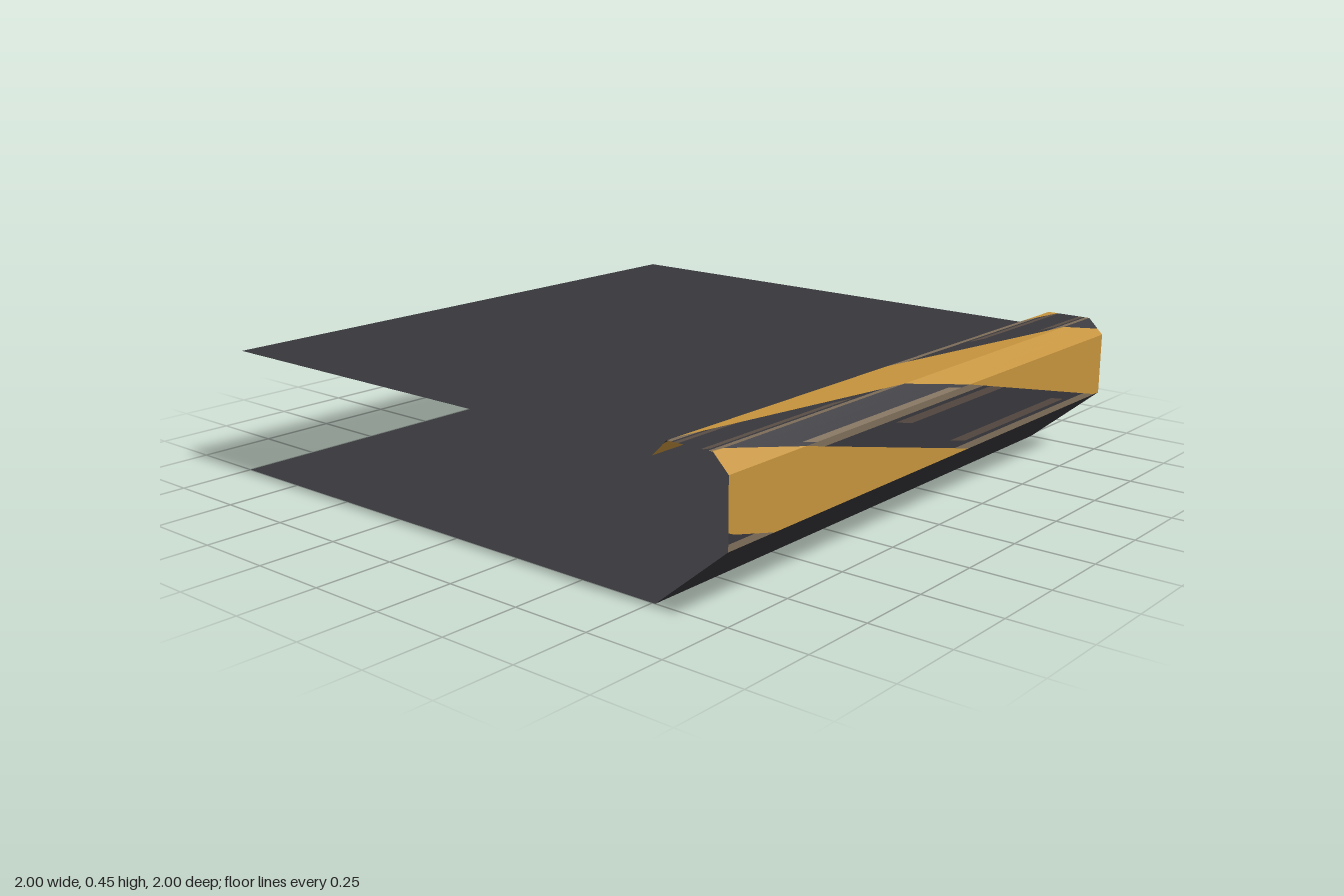
import * as THREE from 'three';

const mat = (name, color) => {
  const m = new THREE.MeshStandardMaterial({ color, side: THREE.DoubleSide });
  m.name = name;
  return m;
};

// Profile as [z, y], from the back of the deck, round the nose, to the back of the base
const deckBack = [-1, 0.4], deckFront = [0.75, 0.4];
const baseFront = [0.76, 0], baseBack = [-1, 0];

// Nose profile as [z, y, x of a stripe's left edge]
const nose = [
  [0.75, 0.4, -0.24], [0.8, 0.45, 0], [0.95, 0.45, 0.82], [1, 0.4, 1.1], [1, 0.2, 1.93],
];
const PERIOD = 1.78, WIDTH = 0.82, ROWS = 20;

// Worn streaks for each nose face: [from, to, colour, left inset, right inset]
const wideStreaks = [
  [0, 0.1, 'tan', 0, 0], [0.15, 0.25, 'brown', 0.3, 0],
  [0.75, 0.85, 'brown', 0.1, 0.1], [0.9, 1, 'tan', 0, 0],
];
const streaks = [[], wideStreaks, [[0.8, 1, 'tan', 0.05, 0.05]], wideStreaks];

const lerp = (p, q, t) => p.map((v, i) => v + (q[i] - v) * t);
const clamp = (x) => Math.max(-1, Math.min(1, x));

// Flat quad between profile points p and q; x ranges are given at each point
function pushQuad(out, p, q, p0, p1, q0, q1) {
  [p0, p1, q0, q1] = [p0, p1, q0, q1].map(clamp);
  if (p1 - p0 < 1e-5 && q1 - q0 < 1e-5) return;
  const a = [p0, p[1], p[0]], b = [q0, q[1], q[0]];
  const c = [q1, q[1], q[0]], d = [p1, p[1], p[0]];
  if (q1 - q0 > 1e-5) out.push(...a, ...b, ...c);
  if (p1 - p0 > 1e-5) out.push(...a, ...c, ...d);
}

function makeMesh(name, positions, material) {
  const g = new THREE.BufferGeometry();
  g.setAttribute('position', new THREE.Float32BufferAttribute(positions, 3));
  g.computeVertexNormals();
  const mesh = new THREE.Mesh(g, material);
  mesh.name = name;
  return mesh;
}

function makePanel(name, p, q, material) {
  const out = [];
  pushQuad(out, p, q, -1, 1, -1, 1);
  return makeMesh(name, out, material);
}

export function createModel() {
  const group = new THREE.Group();
  group.name = 'hazardEdgePlatform';
  const materials = {
    dark: mat('charcoal', 0x37363c),
    gold: mat('hazardGold', 0xc4933c),
    tan: mat('wornTan', 0x7d6d59),
    brown: mat('wornBrown', 0x5a4e45),
  };

  // Plain dark sheets
  group.add(
    makePanel('upperDeck', deckBack, deckFront, materials.dark),
    makePanel('undersideSlope', nose[4].slice(0, 2), baseFront, materials.dark),
    makePanel('lowerBase', baseFront, baseBack, materials.dark),
  );

  // Nose strip with slanted stripes, cut into thin rows so streaks can cross them
  const parts = { dark: [], gold: [], tan: [], brown: [] };
  for (let f = 0; f < nose.length - 1; f++) {
    for (let r = 0; r < ROWS; r++) {
      const p = lerp(nose[f], nose[f + 1], r / ROWS);
      const q = lerp(nose[f], nose[f + 1], (r + 1) / ROWS);
      const t = (r + 0.5) / ROWS;
      const streak = streaks[f].find(([from, to]) => t > from && t < to);
      for (let k = -2; k <= 1; k++) {
        const a = p[2] + k * PERIOD, b = q[2] + k * PERIOD;
        const strip = (key, from, to) =>
          pushQuad(parts[key], p, q, a + from, a + to, b + from, b + to);
        if (streak) {
          const [, , key, left, right] = streak;
          strip('dark', 0, left);
          strip(key, left, WIDTH - right);
          strip('dark', WIDTH - right, WIDTH);
        } else {
          strip('dark', 0, WIDTH);
        }
        strip('gold', WIDTH, PERIOD);
      }
    }
  }
  const names = { dark: 'noseDarkStripes', gold: 'noseGoldStripes', tan: 'noseTanStreaks', brown: 'noseBrownStreaks' };
  for (const key of Object.keys(parts)) group.add(makeMesh(names[key], parts[key], materials[key]));

  return group;
}
